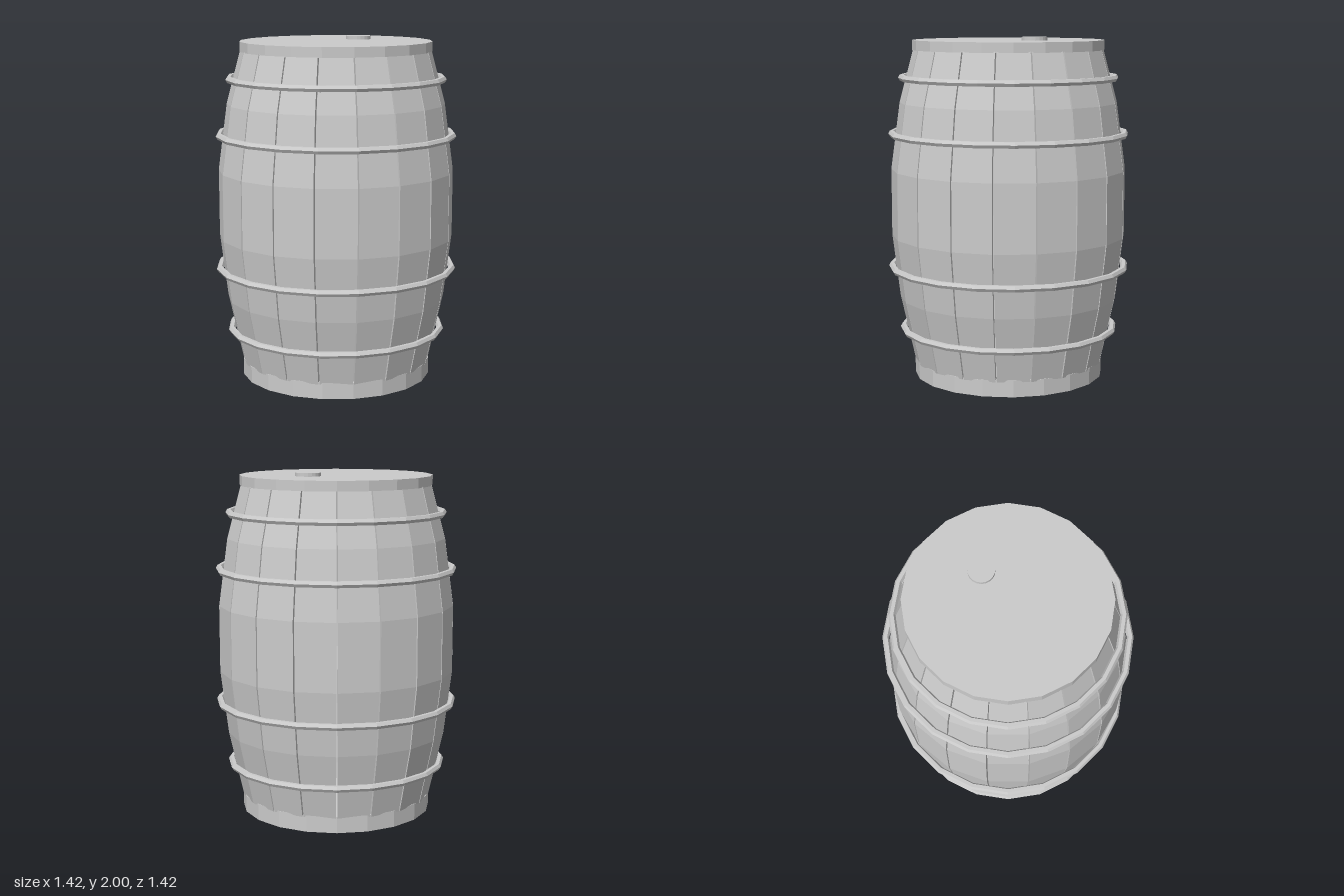
import * as THREE from 'three';

const material = new THREE.MeshStandardMaterial({ color: 0xcccccc, flatShading: true });
const STAVES = 18, SIDES = 20;
// height and outer radius at each bend of a stave
const PROFILE = [[0.085, 0.56], [0.47, 0.645], [0.84, 0.69], [1.23, 0.69], [1.62, 0.637], [1.935, 0.553]];

function add(group, name, geometry, x = 0, y = 0, z = 0) {
  const mesh = new THREE.Mesh(geometry, material);
  mesh.name = name;
  mesh.position.set(x, y, z);
  group.add(mesh);
  return mesh;
}

// A flat plank bent along the profile, with a narrow gap on each side
function staveGeometry() {
  const bends = PROFILE.length - 1, thickness = 0.04, gap = 0.008;
  const geometry = new THREE.BoxGeometry(1, 1, 1, 1, bends, 1);
  const p = geometry.attributes.position;
  const half = Math.PI / STAVES;
  for (let i = 0; i < p.count; i++) {
    const [y, outer] = PROFILE[Math.round((p.getY(i) + 0.5) * bends)];
    const r = p.getZ(i) > 0 ? outer : outer - thickness;
    const side = Math.sign(p.getX(i));
    p.setXYZ(i, side * (r * Math.sin(half) - gap / 2), y, r * Math.cos(half));
  }
  geometry.computeVertexNormals();
  return geometry;
}

export function createModel() {
  const barrel = new THREE.Group();
  barrel.name = 'barrel';

  // Staves
  const staves = new THREE.Group();
  staves.name = 'staves';
  const stave = staveGeometry();
  for (let i = 0; i < STAVES; i++) {
    add(staves, 'stave', stave).rotation.y = ((i + 0.5) / STAVES) * Math.PI * 2;
  }
  barrel.add(staves);

  // Solid heads at both ends
  add(barrel, 'bottomHead', new THREE.CylinderGeometry(0.56, 0.56, 0.096, SIDES), 0, 0.048);
  add(barrel, 'topHead', new THREE.CylinderGeometry(0.56, 0.56, 0.057, SIDES), 0, 1.9515);

  // Hoops: height and ring radius
  for (const [y, r] of [[0.28, 0.626], [0.652, 0.691], [1.437, 0.685], [1.763, 0.624]]) {
    const hoop = new THREE.TorusGeometry(r, 0.02, 6, SIDES).rotateX(Math.PI / 2);
    add(barrel, 'hoop', hoop, 0, y);
  }

  // Bung in the top head
  add(barrel, 'bung', new THREE.CylinderGeometry(0.074, 0.074, 0.04, SIDES), 0.16, 1.98, -0.14);
  return barrel;
}
